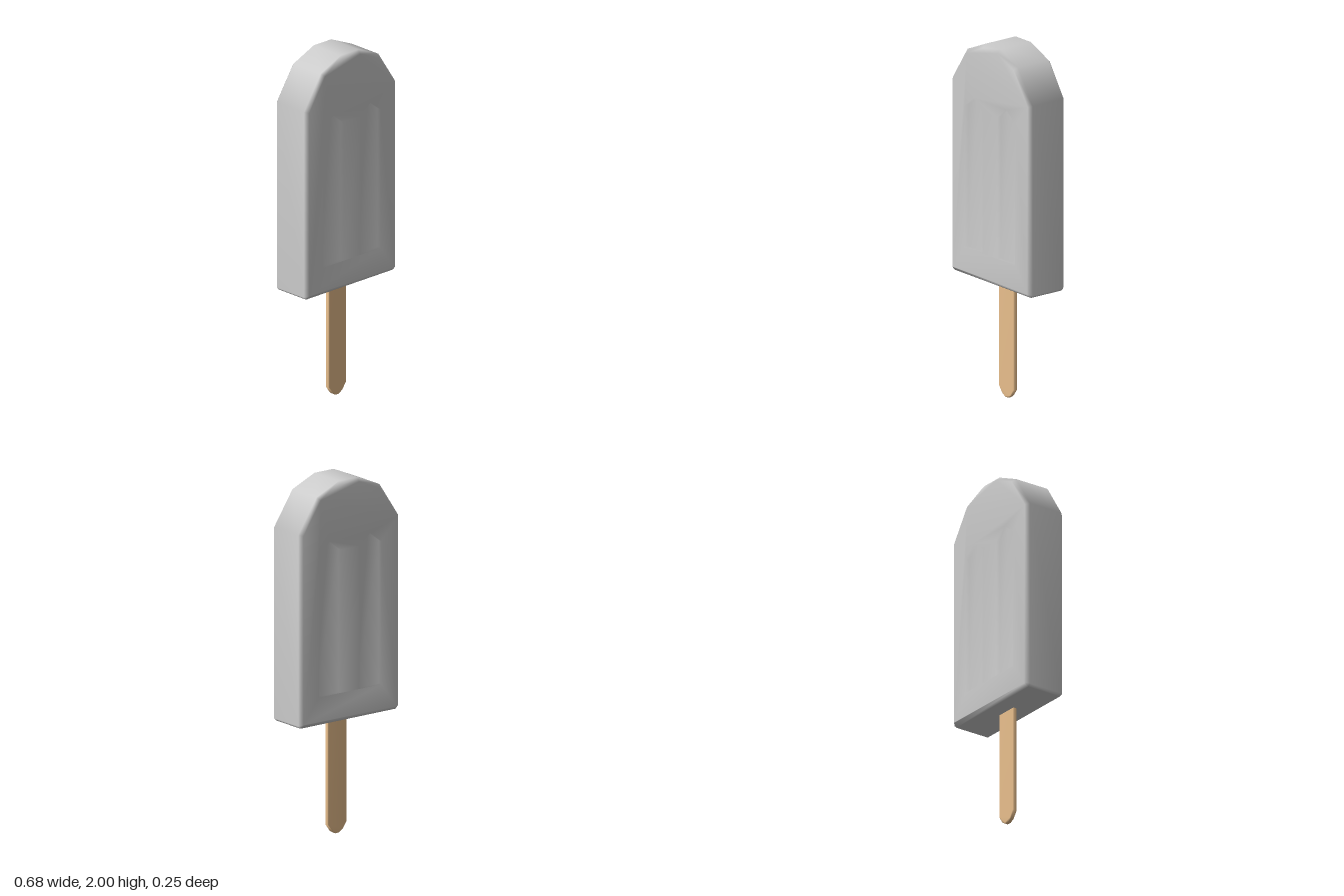
import * as THREE from 'three';
import { mergeGeometries, mergeVertices } from 'three/addons/utils/BufferGeometryUtils.js';

const toPoints = (list) => list.map(([x, y]) => new THREE.Vector2(x, y));

// Moves every edge of a counter-clockwise outline inwards by d
function inset(ring, d) {
  const n = ring.length;
  return ring.map((p, i) => {
    const a = p.clone().sub(ring[(i + n - 1) % n]).normalize();
    const b = ring[(i + 1) % n].clone().sub(p).normalize();
    const m = new THREE.Vector2(-a.y - b.y, a.x + b.x).normalize();
    return p.clone().addScaledVector(m, d / (m.x * -a.y + m.y * a.x));
  });
}

// Strip of quads joining two matching outlines at depths za and zb
function band(ringA, za, ringB, zb) {
  const pos = [];
  ringA.forEach((a, i) => {
    const j = (i + 1) % ringA.length;
    const a2 = ringA[j], b = ringB[i], b2 = ringB[j];
    pos.push(a.x, a.y, za, a2.x, a2.y, za, b2.x, b2.y, zb);
    pos.push(a.x, a.y, za, b2.x, b2.y, zb, b.x, b.y, zb);
  });
  const g = new THREE.BufferGeometry();
  g.setAttribute('position', new THREE.Float32BufferAttribute(pos, 3));
  return g;
}

// Flat face with optional holes, facing +z
function cap(ring, z, holes = []) {
  const shape = new THREE.Shape(ring);
  shape.holes = holes.map((h) => new THREE.Path(h));
  const g = new THREE.ShapeGeometry(shape).toNonIndexed().translate(0, 0, z);
  g.deleteAttribute('uv');
  g.deleteAttribute('normal');
  return g;
}

// Chamfered slab with the same recesses on front and back, smoothly shaded
function slab(ring, halfDepth, chamfer, grooves = [], grooveDepth = 0) {
  const inner = inset(ring, chamfer);
  const zRim = halfDepth - chamfer;
  const face = [band(ring, zRim, inner, halfDepth), cap(inner, halfDepth, grooves)];
  for (const g of grooves) {
    face.push(band(g, halfDepth, g, halfDepth - grooveDepth), cap(g, halfDepth - grooveDepth));
  }
  const front = mergeGeometries(face);
  const back = front.clone().rotateY(Math.PI);
  const all = mergeVertices(mergeGeometries([front, back, band(ring, -zRim, ring, zRim)]), 1e-4);
  all.computeVertexNormals();
  return all;
}

export function createModel() {
  const model = new THREE.Group();
  model.name = 'icePop';

  // Frozen body with a faceted arched top and two pointed grooves per face
  const bodyRing = toPoints([
    [-0.325, 0.66], [0.325, 0.66], [0.34, 0.675], [0.34, 1.745], [0.215, 1.935],
    [0.065, 2], [-0.065, 2], [-0.215, 1.935], [-0.34, 1.745], [-0.34, 0.675],
  ]);
  const grooves = [-0.138, 0.138].map((x) => toPoints([
    [x - 0.076, 0.82], [x + 0.076, 0.82], [x + 0.076, 1.62], [x, 1.68], [x - 0.076, 1.62],
  ]));
  const body = new THREE.Mesh(
    slab(bodyRing, 0.125, 0.02, grooves, 0.025),
    new THREE.MeshStandardMaterial({ color: 0xcccccc }),
  );
  body.name = 'frozenBody';
  model.add(body);

  // Flat wooden stick with a rounded lower end, running up into the body
  const stickRing = toPoints([
    [-0.012, 0], [0.012, 0], [0.037, 0.015], [0.066, 0.055], [0.066, 0.75],
    [-0.066, 0.75], [-0.066, 0.055], [-0.037, 0.015],
  ]);
  const stick = new THREE.Mesh(
    slab(stickRing, 0.013, 0.005),
    new THREE.MeshStandardMaterial({ color: 0xe8be8c }),
  );
  stick.name = 'stick';
  model.add(stick);

  return model;
}
